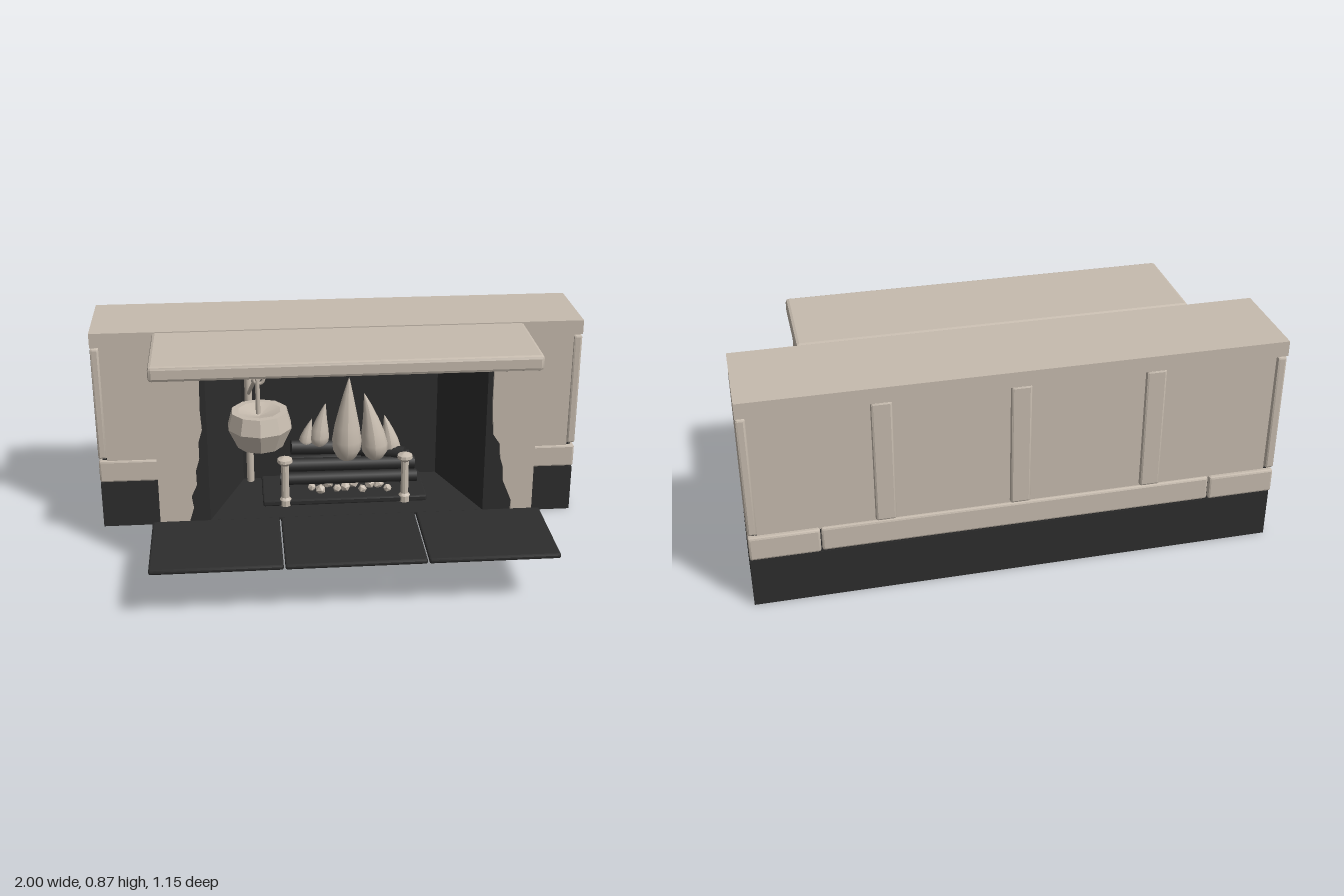
import * as THREE from 'three';
import { toCreasedNormals } from 'three/addons/utils/BufferGeometryUtils.js';
import { RoundedBoxGeometry } from 'three/addons/geometries/RoundedBoxGeometry.js';

export function createModel() {
  const root = new THREE.Group();
  const stone = new THREE.MeshStandardMaterial({ color: 0xc6bbae });
  stone.name = 'pale stone';
  const slate = new THREE.MeshStandardMaterial({ color: 0x2d2d2d });
  slate.name = 'dark slate';

  const add = (name, geo, mat, x = 0, y = 0, z = 0, parent = root) => {
    const m = new THREE.Mesh(geo, mat);
    m.name = name;
    m.position.set(x, y, z);
    parent.add(m);
    return m;
  };
  // Box given by its limits; bevel > 0 chamfers the edges
  const box = (name, mat, x0, x1, y0, y1, z0, z1, bevel = 0, parent = root) => {
    const w = x1 - x0, h = y1 - y0, d = z1 - z0;
    const geo = bevel ? toCreasedNormals(new RoundedBoxGeometry(w, h, d, 1, bevel), 0.3)
      : new THREE.BoxGeometry(w, h, d);
    return add(name, geo, mat, (x0 + x1) / 2, (y0 + y1) / 2, (z0 + z1) / 2, parent);
  };
  // Round bar between two points
  const rod = (name, mat, a, b, r, sides = 8, parent = root) => {
    const p = new THREE.Vector3(...a), q = new THREE.Vector3(...b);
    const m = add(name, new THREE.CylinderGeometry(r, r, p.distanceTo(q), sides), mat, 0, 0, 0, parent);
    m.position.copy(p).add(q).multiplyScalar(0.5);
    m.quaternion.setFromUnitVectors(new THREE.Vector3(0, 1, 0), q.sub(p).normalize());
    return m;
  };
  const lathe = (pts, sides) => new THREE.LatheGeometry(pts.map(p => new THREE.Vector2(...p)), sides);

  // Rear wall: base, core, plinth blocks and end panels
  box('wallBase', slate, -1, 1, 0, 0.2, -0.555, -0.222);
  box('wallCore', stone, -0.966, 0.966, 0.3, 0.806, -0.555, -0.212);
  box('plinthCore', slate, -0.985, 0.985, 0.2, 0.32, -0.553, -0.222);
  box('plinthMiddle', stone, -0.738, 0.738, 0.212, 0.308, -0.568, -0.212, 0.008);
  for (const s of [-1, 1]) {
    const end = new THREE.Group();
    end.name = s > 0 ? 'wallEndLeft' : 'wallEndRight';
    root.add(end);
    const [p0, p1] = s > 0 ? [0.742, 1] : [-1, -0.742];
    box('plinthEnd', stone, p0, p1, 0.212, 0.308, -0.573, -0.205, 0.008, end);
    const [e0, e1] = s > 0 ? [0.965, 1] : [-1, -0.965];
    box('endPanel', stone, e0, e1, 0.319, 0.8, -0.572, -0.205, 0.008, end);
  }
  // Upright strips on the back
  for (const x of [-0.5, 0, 0.5])
    box('backStrip', stone, x - 0.038, x + 0.038, 0.312, 0.804, -0.571, -0.54, 0.008);

  // Wall coping: a hollow slab with open ends
  const coping = new THREE.CylinderGeometry(Math.SQRT1_2, Math.SQRT1_2, 1, 4, 1, true);
  coping.rotateY(Math.PI / 4).rotateZ(Math.PI / 2).scale(2, 0.06, 0.37);
  add('wallCoping', toCreasedNormals(coping, 0.3), stone, 0, 0.836, -0.39);

  // Chimney breast: mantel, outer sides and ragged stone front
  box('mantel', stone, -0.75, 0.75, 0.805, 0.867, -0.203, 0.198, 0.013);
  const ragged = {
    1: [[0.56, 0.806], [0.56, 0.66], [0.568, 0.54], [0.595, 0.5], [0.6, 0.44], [0.612, 0.4],
      [0.615, 0.34], [0.64, 0.28], [0.652, 0.25], [0.65, 0.2]],
    [-1]: [[0.56, 0.806], [0.563, 0.68], [0.558, 0.6], [0.573, 0.55], [0.573, 0.48], [0.588, 0.43],
      [0.587, 0.37], [0.61, 0.32], [0.603, 0.27], [0.625, 0.2]],
  };
  for (const s of [-1, 1]) {
    const side = s > 0 ? 'Left' : 'Right';
    const [a, b] = s > 0 ? [0.72, 0.735] : [-0.735, -0.72];
    box('breastSide' + side, stone, a, b, 0.2, 0.806, -0.215, 0.18);
    const shape = new THREE.Shape([...ragged[s], [0.735, 0.2], [0.735, 0.806]]
      .map(p => new THREE.Vector2(p[0] * s, p[1])));
    add('stoneFront' + side, new THREE.ExtrudeGeometry(shape, { depth: 0.012, bevelEnabled: false }),
      stone, 0, 0, 0.168);
    // Dark surround and splayed firebox wall in one block
    const plan = new THREE.Shape([[0.54, -0.168], [0.719, -0.168], [0.719, 0.21], [0.4, 0.21]]
      .map(p => new THREE.Vector2(p[0] * s, p[1])));
    const wall = new THREE.ExtrudeGeometry(plan, { depth: 0.604, bevelEnabled: false });
    add('fireboxWall' + side, wall.rotateX(-Math.PI / 2).scale(1, 1, 1), slate, 0, 0.201, 0);
  }
  box('fireboxBack', slate, -0.42, 0.42, 0.2, 0.806, -0.218, -0.2);
  box('fireboxFloor', slate, -0.72, 0.72, 0.2, 0.21, -0.215, 0.168);

  // Hearth slabs
  [[-0.765, -0.27], [-0.264, 0.264], [0.27, 0.765]].forEach(([a, b]) =>
    box('hearthSlab', slate, a, b, 0.201, 0.221, 0.182, 0.575, 0.007));

  // Cooking pot hanging from a crane
  const crane = new THREE.Group();
  crane.name = 'potCrane';
  root.add(crane);
  rod('cranePost', stone, [-0.375, 0.21, -0.18], [-0.375, 0.78, -0.18], 0.015, 8, crane);
  rod('craneArm', stone, [-0.375, 0.75, -0.18], [-0.335, 0.75, 0.04], 0.011, 8, crane);
  rod('craneBrace', stone, [-0.375, 0.6, -0.18], [-0.342, 0.745, 0], 0.008, 8, crane);
  rod('potHook', stone, [-0.34, 0.76, 0.03], [-0.34, 0.6, 0.03], 0.009, 8, crane);
  add('hookRing', new THREE.TorusGeometry(0.02, 0.007, 6, 12), stone, -0.335, 0.745, 0.03, crane);
  const pot = lathe([[0, 0.468], [0.092, 0.468], [0.13, 0.55], [0.112, 0.615], [0.085, 0.615], [0, 0.59]], 10);
  add('pot', toCreasedNormals(pot, 0.2), stone, -0.335, 0, 0.03, crane);

  // Fire grate with andirons
  const grate = new THREE.Group();
  grate.name = 'fireGrate';
  root.add(grate);
  box('grateTray', slate, -0.33, 0.33, 0.21, 0.235, -0.17, 0.07, 0.006, grate);
  const andiron = lathe([[0, 0.21], [0.024, 0.21], [0.024, 0.235], [0.016, 0.245], [0.016, 0.385],
    [0.032, 0.4], [0.03, 0.412], [0.012, 0.42], [0, 0.425]], 10);
  for (const x of [-0.24, 0.24]) {
    add('andiron', toCreasedNormals(andiron, 0.5), stone, x, 0, 0.055, grate);
    box('andironBar', slate, x - 0.012, x + 0.012, 0.262, 0.286, -0.16, 0.055, 0, grate);
  }

  // Logs
  [[-0.26, 0.315, 0.035, 0.29, 0.312, 0.035, 0.026], [-0.25, 0.31, -0.12, 0.28, 0.32, -0.12, 0.034],
    [-0.25, 0.345, -0.03, 0.29, 0.335, -0.04, 0.028], [-0.21, 0.405, -0.07, 0.02, 0.39, -0.09, 0.03],
    [0.04, 0.37, -0.12, 0.25, 0.375, -0.04, 0.028]].forEach(l =>
    rod('log', slate, l.slice(0, 3), l.slice(3, 6), l[6], 9));

  // Flames: rounded at the foot, drawn out and leaning to a tip
  const flame = (x, z, y0, y1, r, lean) => {
    const h = y1 - y0;
    const geo = lathe([[0, 0], [0.6, 0.03], [0.95, 0.14], [1, 0.25], [0.85, 0.42], [0.58, 0.62],
      [0.3, 0.82], [0.1, 0.95], [0, 1]].map(([u, v]) => [u * r, v * h]), 14);
    const p = geo.attributes.position;
    for (let i = 0; i < p.count; i++) p.setX(i, p.getX(i) + lean * (p.getY(i) / h) ** 2);
    geo.computeVertexNormals();
    add('flame', geo, stone, x, y0, z);
  };
  flame(0.015, -0.05, 0.35, 0.71, 0.06, 0.01);
  flame(0.13, -0.05, 0.35, 0.64, 0.055, -0.045);
  flame(0.2, -0.08, 0.35, 0.53, 0.04, -0.03);
  flame(-0.095, -0.08, 0.4, 0.59, 0.04, 0.028);
  flame(-0.15, -0.08, 0.4, 0.525, 0.028, 0.028);

  // Embers on the tray
  for (let i = 0; i < 10; i++) {
    const e = add('ember', new THREE.IcosahedronGeometry(0.018 + 0.004 * (i % 3), 0), stone,
      -0.13 + i * 0.034, 0.248, -0.02 + 0.035 * Math.sin(i * 2.3));
    e.rotation.set(i, i * 2, 0);
  }
  return root;
}
